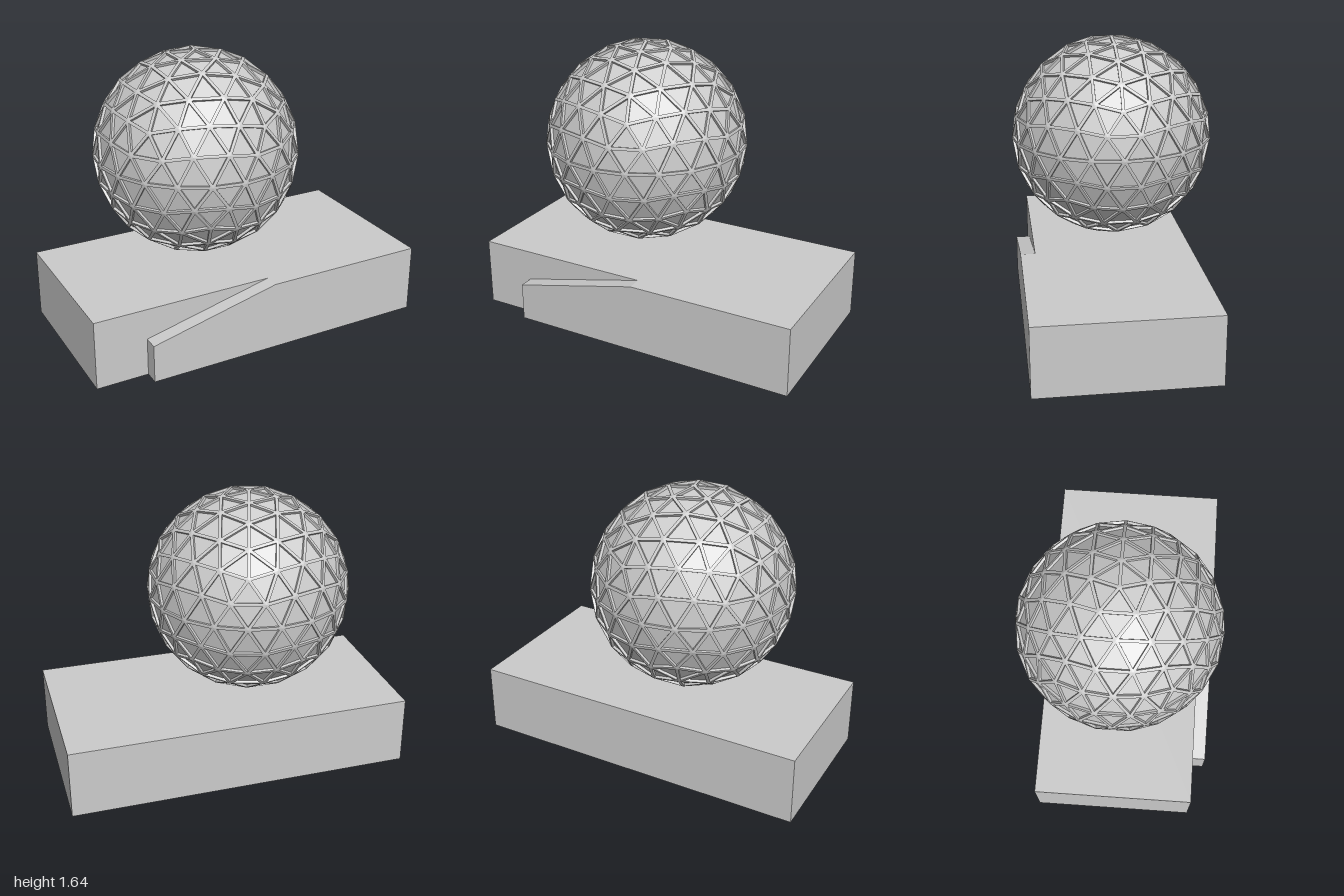
import * as THREE from 'three';

const RADIUS = 0.585, RIB = 0.009, DEPTH = 0.015;

// Unit icosahedron with a vertex at each pole, split twice into 320 triangles
function geodesicTriangles() {
  const ring = (lat, offset) => Array.from({ length: 5 }, (_, i) => {
    const a = offset + (i * Math.PI * 2) / 5;
    return new THREE.Vector3(Math.cos(lat) * Math.cos(a), Math.sin(lat), -Math.cos(lat) * Math.sin(a));
  });
  const lat = Math.atan(0.5);
  const top = new THREE.Vector3(0, 1, 0), bottom = new THREE.Vector3(0, -1, 0);
  const up = ring(lat, 0), low = ring(-lat, Math.PI / 5);
  let tris = [];
  for (let i = 0; i < 5; i++) {
    const j = (i + 1) % 5;
    tris.push([top, up[i], up[j]], [up[i], low[i], up[j]], [low[i], low[j], up[j]], [bottom, low[j], low[i]]);
  }
  const mid = (a, b) => a.clone().add(b).normalize();
  for (let level = 0; level < 2; level++) {
    tris = tris.flatMap(([a, b, c]) => {
      const ab = mid(a, b), bc = mid(b, c), ca = mid(c, a);
      return [[a, ab, ca], [ab, b, bc], [ca, bc, c], [ab, bc, ca]];
    });
  }
  return tris;
}

// Each triangle becomes a rib frame, three recess walls and a sunken panel
function panelledSphere() {
  const pos = [];
  const tri = (...points) => points.forEach((p) => pos.push(p.x, p.y, p.z));
  const quad = (a, b, c, d) => { tri(a, b, c); tri(a, c, d); };
  for (const corners of geodesicTriangles()) {
    const outer = corners.map((p) => p.clone().multiplyScalar(RADIUS));
    const [a, b, c] = outer;
    const la = b.distanceTo(c), lb = c.distanceTo(a), lc = a.distanceTo(b);
    const perimeter = la + lb + lc;
    const cross = b.clone().sub(a).cross(c.clone().sub(a));
    const inradius = cross.length() / perimeter;
    const normal = cross.normalize();
    // shrink towards the incentre so the ribs keep an even width
    const centre = new THREE.Vector3().addScaledVector(a, la / perimeter)
      .addScaledVector(b, lb / perimeter).addScaledVector(c, lc / perimeter);
    const inner = outer.map((p) => p.clone().lerp(centre, RIB / inradius));
    const sunk = inner.map((p) => p.clone().addScaledVector(normal, -DEPTH));
    for (let i = 0; i < 3; i++) {
      const j = (i + 1) % 3;
      quad(outer[i], outer[j], inner[j], inner[i]);
      quad(inner[i], inner[j], sunk[j], sunk[i]);
    }
    tri(...sunk);
  }
  const geometry = new THREE.BufferGeometry();
  geometry.setAttribute('position', new THREE.Float32BufferAttribute(pos, 3));
  geometry.computeVertexNormals();
  return geometry;
}

export function createModel() {
  const group = new THREE.Group();
  const material = new THREE.MeshStandardMaterial({ color: 0xcccccc, flatShading: true });
  const add = (name, geometry, x, y, z) => {
    const mesh = new THREE.Mesh(geometry, material);
    mesh.name = name;
    mesh.position.set(x, y, z);
    group.add(mesh);
  };

  // Sphere floating above the block
  add('geodesicSphere', panelledSphere(), -0.158, 1.06, 0);

  // Main block
  const back = -0.447, step = 0.478, front = 0.563, height = 0.403;
  add('baseBlock', new THREE.BoxGeometry(2, height, step - back), 0, height / 2, (step + back) / 2);

  // Thin front layer with a sloping top at its -x end
  const outline = new THREE.Shape([
    [-0.7, 0], [1, 0], [1, height], [0.05, height], [-0.7, 0.222],
  ].map(([x, y]) => new THREE.Vector2(x, y)));
  add('frontStep', new THREE.ExtrudeGeometry(outline, { depth: front - step, bevelEnabled: false }), 0, 0, step);

  return group;
}
